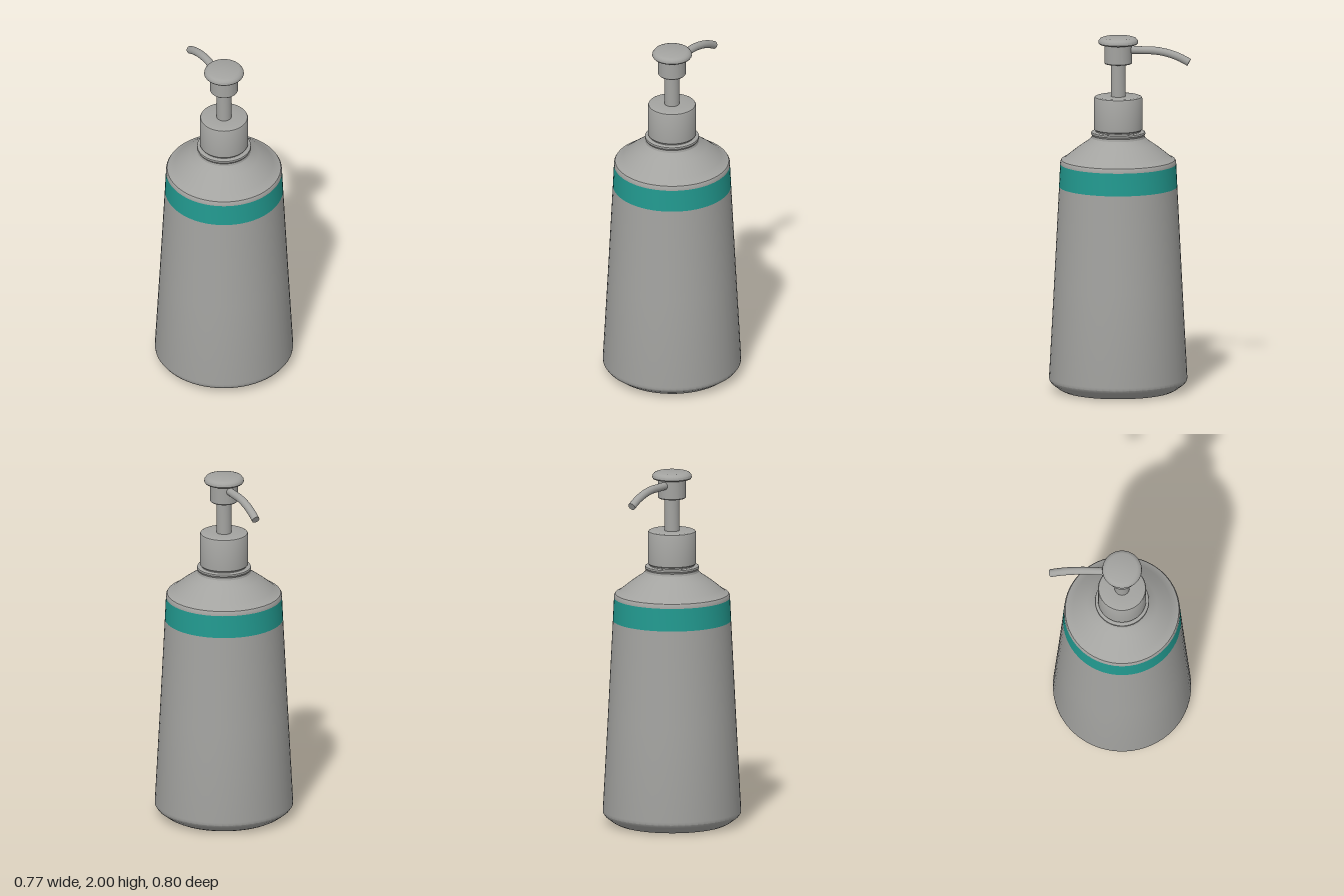
import * as THREE from 'three';
import { toCreasedNormals } from 'three/addons/utils/BufferGeometryUtils.js';

export function createModel() {
  const model = new THREE.Group();
  model.name = 'pumpBottle';
  const grey = new THREE.MeshStandardMaterial({ color: 0xa3a3a0 });
  grey.name = 'grey plastic';
  const teal = new THREE.MeshStandardMaterial({ color: 0x22998f });
  teal.name = 'teal band';

  // The bottle axis sits slightly forward of the spout's balance point
  const axisZ = 0.01;

  // Turned part from [radius, height] pairs, listed from bottom to top
  function turned(name, profile, material = grey, segments = 64) {
    const points = profile.map(([r, y]) => new THREE.Vector2(r, y));
    const geometry = toCreasedNormals(new THREE.LatheGeometry(points, segments), 0.55);
    const mesh = new THREE.Mesh(geometry, material);
    mesh.name = name;
    mesh.position.z = axisZ;
    model.add(mesh);
    return mesh;
  }

  // Tapered bottle with a chamfered base
  turned('body', [
    [0, 0], [0.312, 0], [0.335, 0.012], [0.375, 0.042], [0.386, 0.058], [0.387, 0.075],
    [0.359, 0.6], [0.331, 1.155],
  ]);
  turned('band', [[0.331, 1.155], [0.325, 1.283]], teal);

  // Rounded rim, sloping shoulder and neck ring
  turned('shoulder', [
    [0.325, 1.283], [0.324, 1.298], [0.318, 1.308], [0.303, 1.314], [0.275, 1.336],
    [0.238, 1.366], [0.195, 1.397], [0.165, 1.417], [0.15, 1.432], [0.147, 1.445],
    [0.152, 1.455], [0.15, 1.464], [0.143, 1.468], [0.126, 1.468], [0.126, 1.48],
  ]);

  // Screw collar
  turned('collar', [
    [0, 1.476], [0.132, 1.476], [0.135, 1.48], [0.135, 1.655], [0.131, 1.663],
    [0.122, 1.667], [0.05, 1.667], [0, 1.667],
  ]);

  // Pump stem and head
  turned('stem', [[0.042, 1.66], [0.042, 1.87]], grey, 24);
  turned('pumpHead', [
    [0, 1.852], [0.074, 1.852], [0.078, 1.857], [0.078, 1.97],
  ], grey, 48);
  turned('pressCap', [
    [0, 1.966], [0.078, 1.966], [0.106, 1.963], [0.111, 1.97], [0.109, 1.984],
    [0.1, 1.995], [0.086, 2], [0, 2],
  ], grey, 48);

  // Spout: straight out of the back, then drooping
  const path = new THREE.CatmullRomCurve3([
    [1.931, -0.04], [1.931, -0.13], [1.93, -0.2], [1.918, -0.27], [1.896, -0.335], [1.868, -0.39],
  ].map(([y, z]) => new THREE.Vector3(0, y, z)));
  const spout = new THREE.Mesh(new THREE.TubeGeometry(path, 32, 0.022, 20), grey);
  spout.name = 'spout';
  model.add(spout);

  // Closed spout end
  const end = new THREE.Mesh(new THREE.CircleGeometry(0.022, 20), grey);
  end.name = 'spoutEnd';
  end.position.copy(path.getPoint(1));
  end.lookAt(path.getPoint(1).add(path.getTangent(1)));
  model.add(end);

  return model;
}
